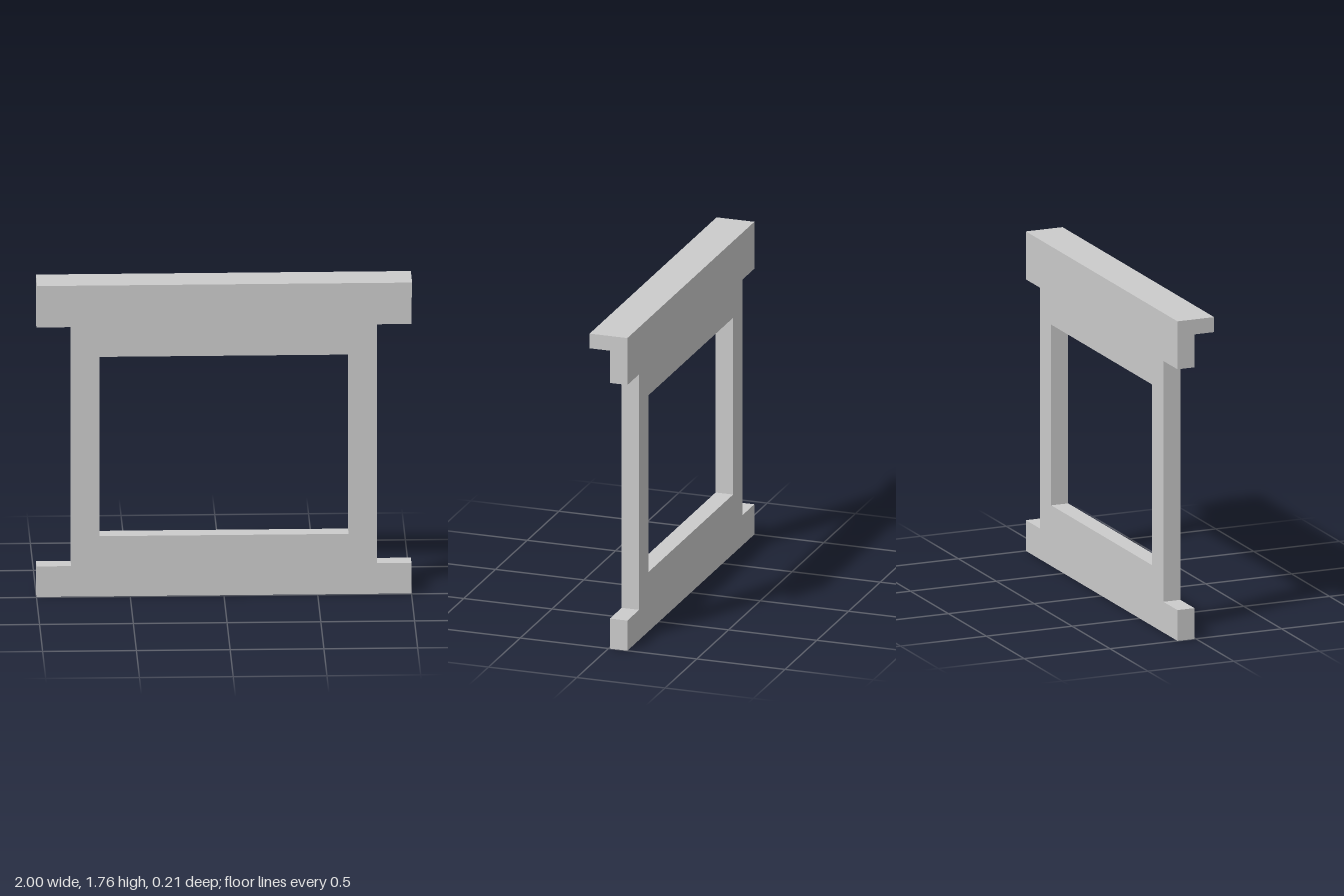
import * as THREE from 'three';

const BACK = -0.107, FACE = -0.008, FRONT = 0.107; // z of panel back, panel face, ledge front
const TOP = 1.765;

export function createModel() {
  const group = new THREE.Group();
  group.name = 'windowFrame';
  const material = new THREE.MeshStandardMaterial({ color: 0xcccccc, flatShading: true });

  // Flat panel: right half of the outline, mirrored to the left
  const half = [[1, 0], [1, 0.17], [0.815, 0.17], [0.815, 1.5], [1, 1.5], [1, TOP]];
  const outline = [...half, ...half.map(([x, y]) => [-x, y]).reverse()];
  const shape = new THREE.Shape(outline.map(([x, y]) => new THREE.Vector2(x, y)));

  // Rectangular window opening
  const opening = [[-0.665, 0.335], [-0.665, 1.333], [0.665, 1.333], [0.665, 0.335]];
  shape.holes.push(new THREE.Path(opening.map(([x, y]) => new THREE.Vector2(x, y))));

  const panel = new THREE.Mesh(
    new THREE.ExtrudeGeometry(shape, { depth: FACE - BACK, bevelEnabled: false }), material);
  panel.name = 'framePanel';
  panel.position.z = BACK;
  group.add(panel);

  // Ledge projecting forward along the top edge
  const ledgeHeight = 0.083;
  const ledge = new THREE.Mesh(new THREE.BoxGeometry(2, ledgeHeight, FRONT - FACE), material);
  ledge.name = 'topLedge';
  ledge.position.set(0, TOP - ledgeHeight / 2, (FRONT + FACE) / 2);
  group.add(ledge);

  return group;
}
